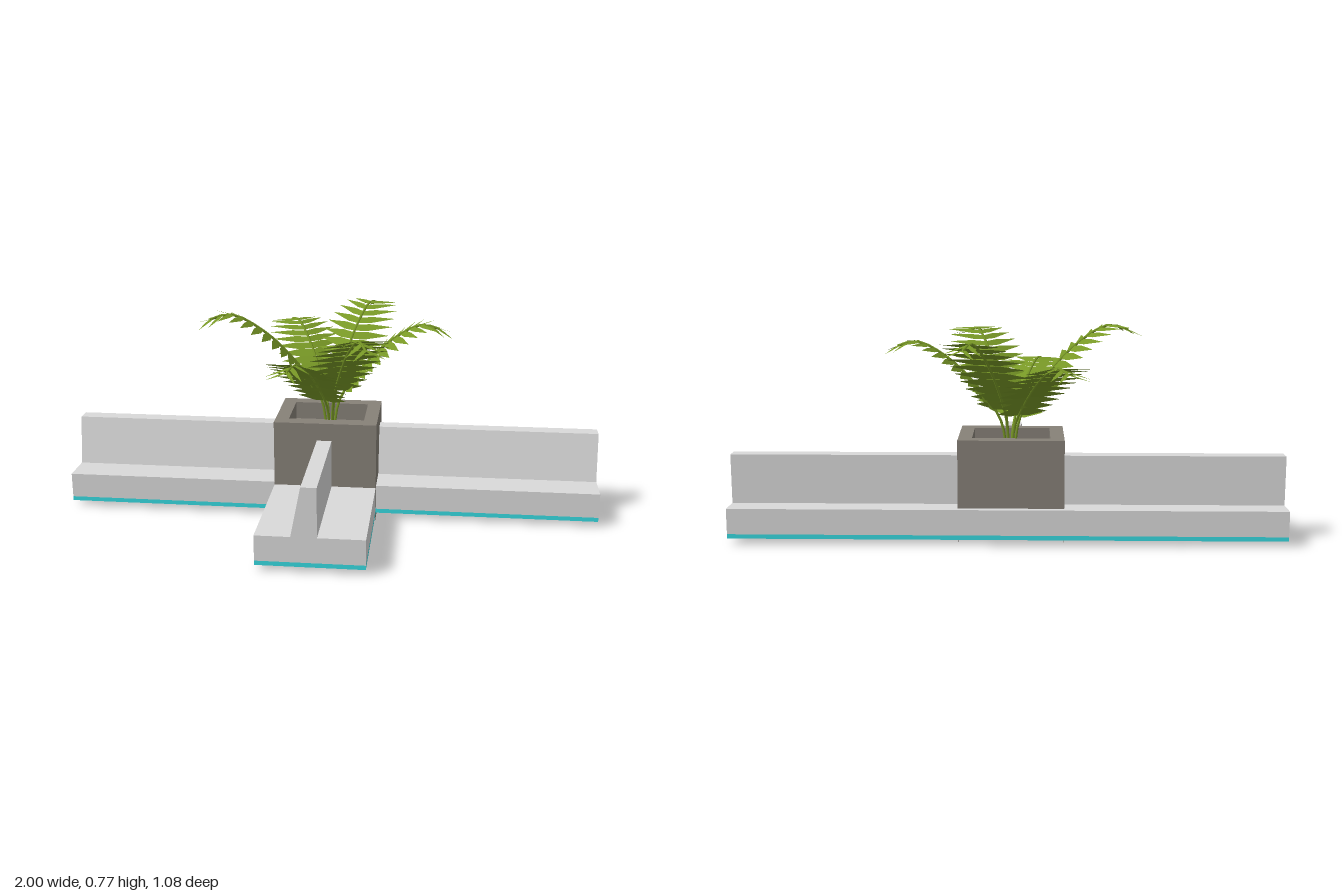
import * as THREE from 'three';

const mat = (name, color, side = THREE.DoubleSide) => {
  const m = new THREE.MeshStandardMaterial({ color, side });
  m.name = name;
  return m;
};

export function createModel() {
  const root = new THREE.Group();
  const concrete = mat('concrete', 0xd9d9d9);
  const stone = mat('planter stone', 0x878178);
  const cyan = mat('cyan trim', 0x36d9e0, THREE.FrontSide);
  const leaf = mat('fern green', 0x789826);

  const group = (name, parent = root) => {
    const g = new THREE.Group();
    g.name = name;
    parent.add(g);
    return g;
  };
  const add = (name, geo, material, parent) => {
    const m = new THREE.Mesh(geo, material);
    m.name = name;
    parent.add(m);
    return m;
  };
  const box = (name, x0, x1, y0, y1, z0, z1, material, parent) =>
    add(name, new THREE.BoxGeometry(x1 - x0, y1 - y0, z1 - z0), material, parent)
      .position.set((x0 + x1) / 2, (y0 + y1) / 2, (z0 + z1) / 2);
  const vecs = pts => pts.map(p => new THREE.Vector2(...p));
  const rect = (x0, x1, z0, z1) => vecs([[x0, -z1], [x1, -z1], [x1, -z0], [x0, -z0]]);

  // Rectangular ring lying flat, rising from y0 to y1
  const frame = (name, x0, x1, y0, y1, z0, z1, w, material, parent) => {
    const s = new THREE.Shape(rect(x0, x1, z0, z1));
    s.holes.push(new THREE.Path(rect(x0 + w, x1 - w, z0 + w, z1 - w).reverse()));
    const g = new THREE.ExtrudeGeometry(s, { depth: y1 - y0, bevelEnabled: false });
    g.rotateX(-Math.PI / 2);
    add(name, g, material, parent).position.y = y0;
  };
  const surface = pos => {
    const g = new THREE.BufferGeometry();
    g.setAttribute('position', new THREE.Float32BufferAttribute(pos, 3));
    g.computeVertexNormals();
    return g;
  };
  // Hollow shell, open below: a profile swept along z, with caps at the given depths
  const shell = (name, pts, depth, caps, parent) => {
    const g = group(name, parent);
    const pos = [];
    for (let i = 0; i < pts.length - 1; i++) {
      const [a, b] = [pts[i], pts[i + 1]];
      pos.push(...a, 0, ...b, depth, ...b, 0, ...a, 0, ...a, depth, ...b, depth);
    }
    add('sides', surface(pos), concrete, g);
    for (const z of caps)
      add('endCap', new THREE.ShapeGeometry(new THREE.Shape(vecs(pts))), concrete, g).position.z = z;
    return g;
  };

  const XL = -0.205, XR = 0.175, ZB = -0.245, ZF = 0.06;   // planter footprint
  const BOTTOM = 0.021, TRIM = 0.037, SEAT = 0.13, TOP = 0.31;
  const trim = (x0, x1, z0, z1, parent) =>
    frame('trim', x0, x1, BOTTOM, TRIM, z0, z1, 0.009, cyan, parent);

  // Long bench: two sections either side of the planter, swept along x
  const longProfile = [[-0.035, TRIM], [-0.035, SEAT], [0.09, SEAT], [0.125, TOP],
    [0.18, TOP], [0.18, SEAT], [0.27, SEAT], [0.27, TRIM]];
  const alongX = (g, x) => {
    g.rotation.y = Math.PI / 2;
    g.position.x = x;
  };
  for (const [name, x0, x1, cap] of [['rightBench', -1, XL, 0], ['leftBench', XR, 1, 1 - XR]]) {
    const g = group(name);
    trim(x0, x1, -0.27, 0.035, g);
    alongX(shell('seatAndBack', longProfile, x1 - x0, [cap], g), x0);
  }

  // Middle section under the planter
  const middle = group('middleBase');
  trim(XL, XR, -0.27, ZF, middle);
  alongX(shell('seat', [[-0.035, TRIM], [-0.035, SEAT], [0.27, SEAT], [0.27, TRIM]],
    XR - XL, [], middle), XL);

  // Front branch
  const branch = group('frontBench');
  const branchDepth = 0.527 - ZF;
  trim(XL, XR, ZF, 0.527, branch);
  shell('seatAndBack', [[XL, TRIM], [XL, SEAT], [-0.08, SEAT], [-0.045, TOP], [0.01, TOP],
    [0.01, SEAT], [XR, SEAT], [XR, TRIM]], branchDepth, [branchDepth], branch).position.z = ZF;

  // Planter
  const planter = group('planter');
  frame('planterWalls', XL, XR, SEAT, 0.376, ZB, ZF, 0.05, stone, planter);
  box('planterFloor', XL + 0.045, XR - 0.045, 0.29, 0.31, ZB + 0.045, ZF - 0.045, stone, planter);
  box('planterFrontSkirt', XL, XR, TRIM, SEAT, 0.037, ZF, stone, planter);
  for (const [x, turn] of [[XL, -1], [XR, 1]]) {
    const foot = add('planterFoot', new THREE.PlaneGeometry(ZF - ZB, SEAT), stone, planter);
    foot.rotation.y = turn * Math.PI / 2;
    foot.position.set(x, SEAT / 2, (ZF + ZB) / 2);
  }

  // Fern: each frond has a tip (x, z) and a peak height
  const fern = group('fern');
  const cx = -0.01, cz = -0.095, y0 = 0.31;
  const fronds = [[-0.22, -0.51, 0.655], [0.15, -0.5, 0.735], [0.42, -0.13, 0.715],
    [0.16, 0.32, 0.735], [-0.14, 0.24, 0.625], [-0.47, 0.02, 0.765]];
  const arch = [[0.03, 0], [0.08, 0.28], [0.26, 0.57], [0.52, 0.85], [0.78, 1], [0.94, 0.96]];
  for (const [tx, tz, peak] of fronds) {
    const dx = tx - cx, dz = tz - cz, len = Math.hypot(dx, dz);
    const side = new THREE.Vector3(-dz / len, 0, dx / len);
    const curve = new THREE.CatmullRomCurve3(arch.map(([r, h]) =>
      new THREE.Vector3(cx + dx * r, y0 + (peak - y0) * h, cz + dz * r)));
    const frond = group('frond', fern);
    add('stem', new THREE.TubeGeometry(curve, 16, 0.005, 5), leaf, frond);

    // Pairs of broad pointed leaflets, swept further forward towards the tip
    const pos = [], n = 13;
    for (let i = 0; i < n; i++) {
      const u = i / (n - 1), t = 0.3 + 0.69 * u;
      const p = curve.getPointAt(t), tan = curve.getTangentAt(t);
      const L = 0.1 + 0.055 * Math.sin(Math.PI * u) - 0.02 * u;
      const w = 0.027 - 0.014 * u;
      for (const s of [-1, 1]) {
        const d = side.clone().multiplyScalar(s * 0.95).addScaledVector(tan, 0.2 + 0.6 * u * u);
        d.y -= 0.17;
        d.normalize();
        const at = (a, b) => p.clone().addScaledVector(d, a * L).addScaledVector(tan, b);
        const b0 = at(0, -w * 0.7), m0 = at(0.35, -w * 0.9), tip = at(1, 0),
          m1 = at(0.35, w * 0.8), b1 = at(0, w * 0.7);
        for (const tri of [[b0, m0, b1], [m0, m1, b1], [m0, tip, m1]])
          for (const v of s > 0 ? tri.reverse() : tri) pos.push(v.x, v.y, v.z);
      }
    }
    add('leaflets', surface(pos), leaf, frond);
  }
  return root;
}
